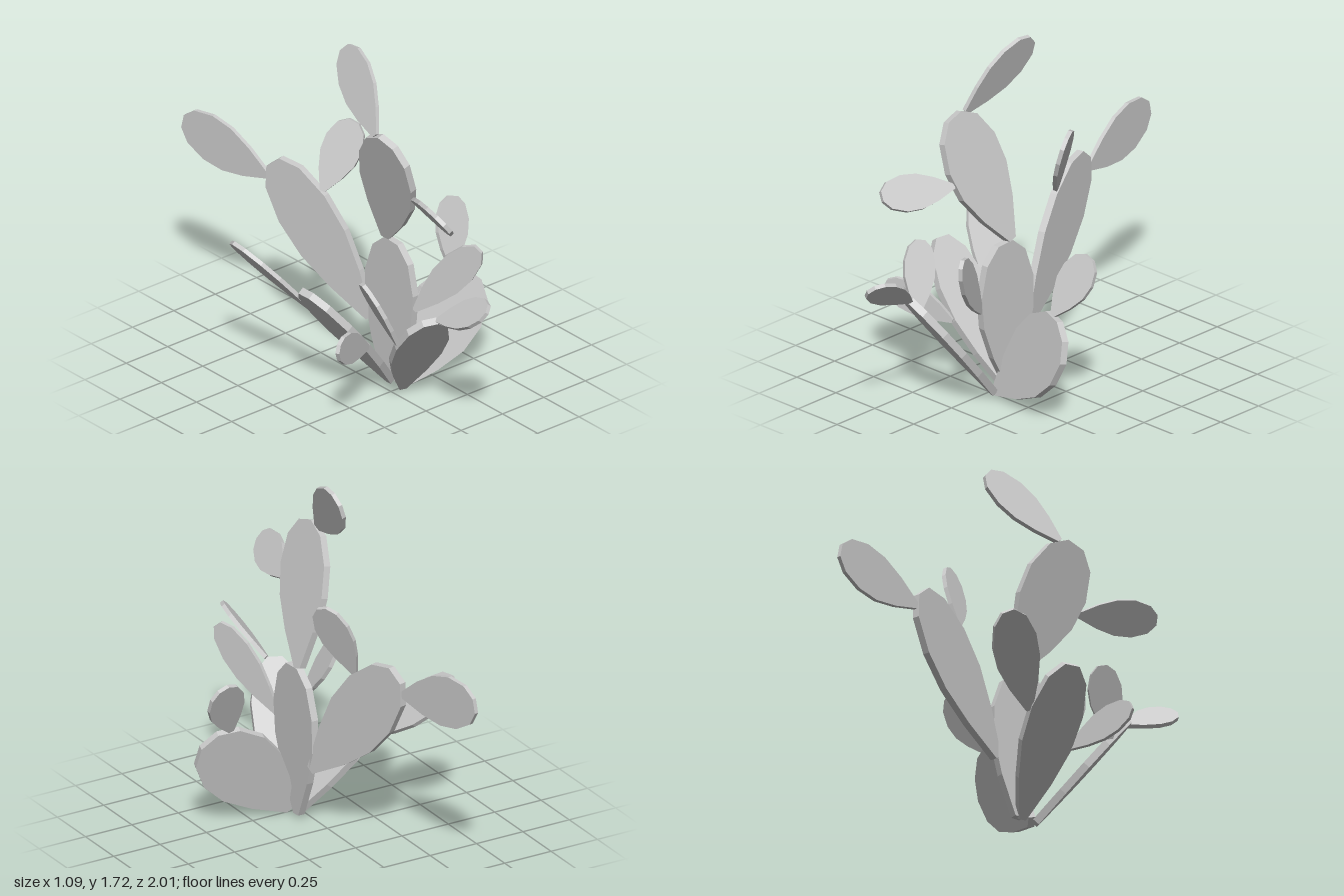
import * as THREE from 'three';

// Half outline of a pad: [fraction of length, fraction of half width]
const PROFILE = [[0, 0.13], [0.25, 0.64], [0.48, 0.96], [0.7, 1], [0.9, 0.74], [1, 0.28]];
const UP = new THREE.Vector3(0, 1, 0);

const material = new THREE.MeshStandardMaterial({ color: 0xcccccc, flatShading: true });

// Half-width fraction of the outline at fraction t of the length
function profileAt(t) {
  const i = Math.max(1, PROFILE.findIndex(([end]) => end >= t));
  const [t0, w0] = PROFILE[i - 1];
  const [t1, w1] = PROFILE[i];
  return THREE.MathUtils.mapLinear(t, t0, t1, w0, w1);
}

export function createModel() {
  const model = new THREE.Group();
  model.name = 'padCactus';

  // Flat many-sided pad from a start point to its tip; roll (degrees) turns it
  // about its own length, with 0 keeping its width level. Returns a function
  // that finds a point on its rim, where the sign of t picks the side.
  function grow(name, start, tip, width, roll) {
    const along = new THREE.Vector3(...tip).sub(start);
    const length = along.length();
    along.normalize();
    const across = UP.clone().cross(along).normalize()
      .applyAxisAngle(along, THREE.MathUtils.degToRad(roll));
    const normal = across.clone().cross(along);
    const thickness = width > 0.255 ? 0.035 : 0.02;

    const side = (s) => PROFILE.map(([t, w]) => new THREE.Vector2(s * w * width / 2, t * length));
    const outline = new THREE.Shape([...side(1), ...side(-1).reverse()]);
    const geometry = new THREE.ExtrudeGeometry(outline, { depth: thickness, bevelEnabled: false });
    geometry.translate(0, 0, -thickness / 2);
    geometry.applyMatrix4(new THREE.Matrix4().makeBasis(across, along, normal).setPosition(start));

    const mesh = new THREE.Mesh(geometry, material);
    mesh.name = name;
    model.add(mesh);

    return (t) => start.clone()
      .addScaledVector(along, Math.abs(t) * length)
      .addScaledVector(across, Math.sign(t) * profileAt(Math.abs(t)) * width / 2);
  }

  const root = (z) => new THREE.Vector3(0.05, 0.017, z);

  // Pads growing from the root
  const centre = grow('centrePad', root(0.17), [0.05, 0.755, 0.21], 0.34, 90);
  const left = grow('leftPad', root(0.25), [0.48, 0.455, 0.26], 0.37, 71);
  const front = grow('frontPad', root(0.27), [-0.12, 0.57, 0.67], 0.26, 4);
  const right = grow('rightPad', root(0.19), [-0.42, 0.61, 0.14], 0.28, 5);

  // Pads on the centre pad
  const back = grow('backPad', centre(0.36), [-0.09, 0.94, -0.47], 0.33, 90);
  const upper = grow('upperPad', centre(1), [-0.12, 1.39, 0.37], 0.345, -47);
  grow('centreSidePad', centre(-0.6), [0.2, 0.83, 0.64], 0.165, 90);

  // Small pads on the outer rims
  grow('topPad', upper(-0.96), [-0.02, 1.68, -0.05], 0.225, -68);
  grow('upperSidePad', upper(0.6), [-0.14, 1.125, 0.82], 0.175, -54);
  grow('backEndPad', back(-0.95), [-0.19, 0.97, -1], 0.25, 90);
  grow('backTopPad', back(0.73), [0.12, 1.205, -0.15], 0.19, 50);
  grow('leftEndPad', left(0.94), [0.5, 0.785, 0.1], 0.19, 44);
  grow('frontEndPad', front(1), [-0.04, 0.74, 0.99], 0.155, 43);
  grow('frontSidePad', front(-0.74), [-0.3, 0.72, 0.4], 0.16, 30);
  grow('rightBackPad', right(-0.67), [-0.51, 0.735, -0.28], 0.22, 34);
  grow('rightFrontPad', right(0.49), [-0.48, 0.46, 0.44], 0.15, 90);

  return model;
}
